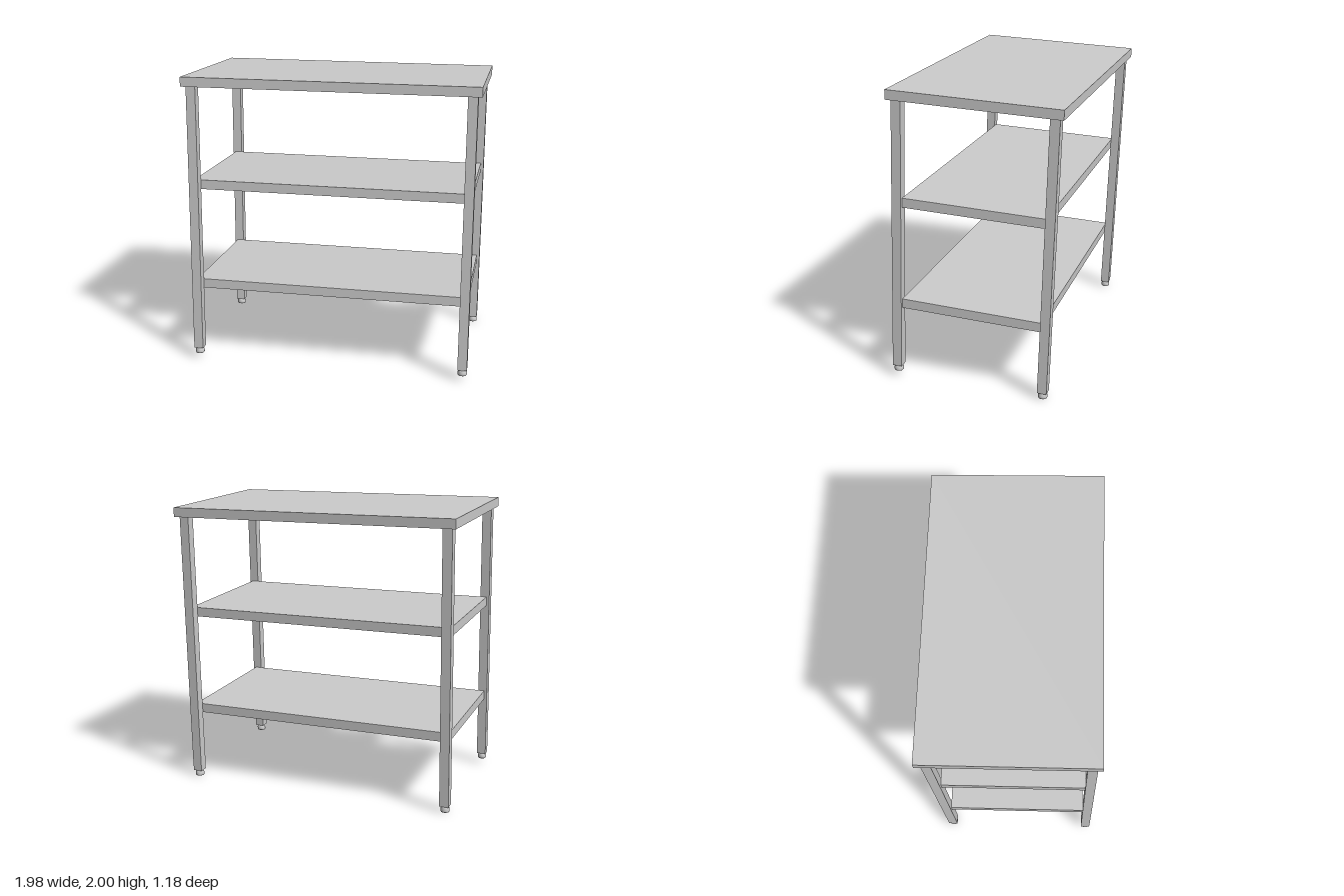
import * as THREE from 'three';

const material = new THREE.MeshStandardMaterial({ color: 0xcccccc });
const Z0 = 0.052;        // middle of the bench in its own upright frame
const THICK = 0.064;     // shelf edge height, also the leg width
const TILT = -0.0375;    // the whole bench leans slightly back

function box(parent, name, w, h, d, x, y, z) {
  const mesh = new THREE.Mesh(new THREE.BoxGeometry(w, h, d), material);
  mesh.name = name;
  mesh.position.set(x, y, z);
  parent.add(mesh);
  return mesh;
}

// Sheet with a turned-down rim and a stiffening channel across the underside
function makeShelf(name, width, depth, top, channelX) {
  const shelf = new THREE.Group();
  shelf.name = name;
  shelf.position.set(0, top, Z0);
  const sheet = 0.012, rim = 0.03, drop = THICK - sheet;
  const y = -sheet - drop / 2;
  box(shelf, 'sheet', width, sheet, depth, 0, -sheet / 2, 0);
  for (const s of [-1, 1]) {
    box(shelf, 'longRim', width, drop, rim, 0, y, s * (depth - rim) / 2);
    box(shelf, 'sideRim', rim, drop, depth - 2 * rim, s * (width - rim) / 2, y, 0);
  }
  box(shelf, 'stiffeningChannel', 0.257, drop, depth - 2 * rim, channelX, y, 0);
  return shelf;
}

// Square leg with an end plug and a round levelling foot
function makeLeg(name, x, z) {
  const leg = new THREE.Group();
  leg.name = name;
  leg.position.set(x, 0, z);
  box(leg, 'post', THICK, 1.81, THICK, 0, 1.01, 0);
  box(leg, 'endPlug', THICK - 0.001, 0.045, THICK - 0.001, 0, 0.0825, 0);
  const profile = [[0, 0.019], [0.028, 0.019], [0.031, 0.023], [0.031, 0.042], [0.026, 0.046], [0.026, 0.06], [0, 0.06]]
    .map(([r, y]) => new THREE.Vector2(r, y));
  const foot = new THREE.Mesh(new THREE.LatheGeometry(profile, 24), material);
  foot.name = 'foot';
  leg.add(foot);
  return leg;
}

export function createModel() {
  const bench = new THREE.Group();
  bench.name = 'shelvedBench';

  bench.add(makeShelf('tableTop', 1.976, 1.14, 1.979, -0.003));
  bench.add(makeShelf('middleShelf', 1.88, 0.957, 1.269, -0.01));
  bench.add(makeShelf('lowerShelf', 1.88, 0.957, 0.558, 0.03));

  for (const [side, sx] of [['Left', 1], ['Right', -1]]) {
    bench.add(makeLeg('front' + side + 'Leg', sx * 0.928, Z0 + 0.51));
    bench.add(makeLeg('back' + side + 'Leg', sx * 0.928, Z0 - 0.51));
  }

  bench.rotation.x = TILT;
  const model = new THREE.Group();
  model.name = 'workTable';
  model.add(bench);
  return model;
}
